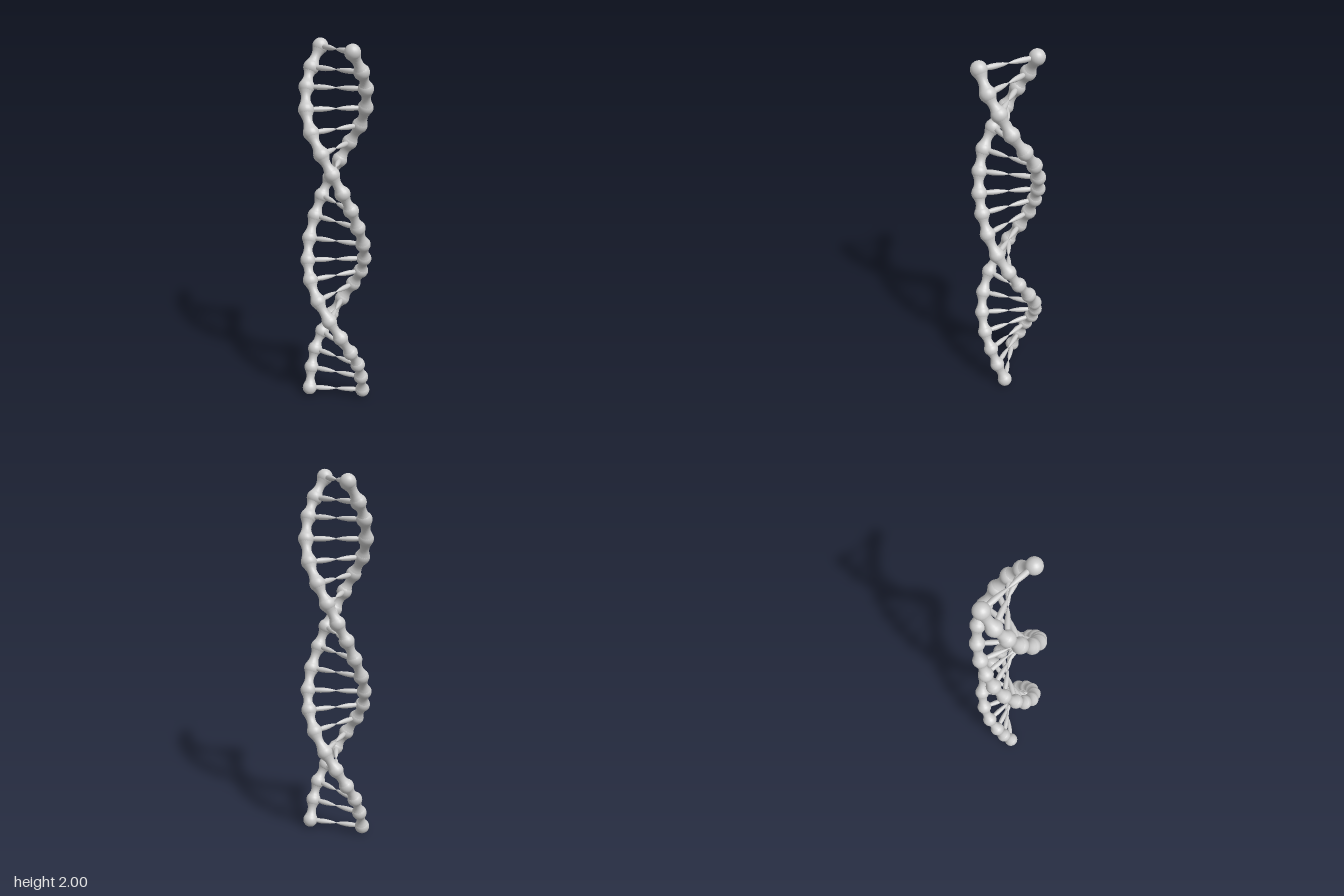
import * as THREE from 'three';
import { ParametricGeometry } from 'three/addons/geometries/ParametricGeometry.js';

const RADIUS = 0.152, BEAD = 0.041, NECK = 0.024;

// Height and turn (degrees) of each rung, from the top down
const HEIGHTS = [1.96, 1.86, 1.77, 1.665, 1.56, 1.46, 1.36, 1.26, 1.165, 1.06,
  0.95, 0.845, 0.75, 0.65, 0.545, 0.445, 0.345, 0.25, 0.15, 0.041];
const TURNS = [31, 7, -15, -37, -63, -89, -110, -130, -148, -166,
  -188, -212, -233, -258, -284, -307, -329, -350, -366, -383];

export function createModel() {
  const model = new THREE.Group();
  model.name = 'doubleHelix';
  const material = new THREE.MeshStandardMaterial({ color: 0xcccccc });

  const nodes = HEIGHTS.map((y, i) => {
    const a = THREE.MathUtils.degToRad(TURNS[i]);
    return new THREE.Vector3(RADIUS * Math.cos(a), y, RADIUS * Math.sin(a));
  });
  const spans = nodes.length - 1;
  const path = new THREE.CatmullRomCurve3(nodes);

  // Strand: a tube along the helix that swells at every node
  const strandGeometry = new ParametricGeometry((u, v, target) => {
    const p = path.getPoint(v), t = path.getTangent(v);
    const out = new THREE.Vector3(p.x, 0, p.z);
    out.addScaledVector(t, -out.dot(t)).normalize();
    const side = new THREE.Vector3().crossVectors(t, out);
    const swell = Math.abs(Math.cos(Math.PI * v * spans)) ** 2.5;
    const r = NECK + (BEAD - 0.001 - NECK) * swell;
    const a = u * Math.PI * 2;
    target.copy(p).addScaledVector(out, r * Math.cos(a)).addScaledVector(side, r * Math.sin(a));
  }, 20, spans * 10);

  const beadGeometry = new THREE.SphereGeometry(BEAD, 20, 14);

  // The second strand is the first one turned half way round
  ['first', 'second'].forEach((label, k) => {
    const strand = new THREE.Group();
    strand.name = label + 'Strand';
    strand.rotation.y = k * Math.PI;
    const backbone = new THREE.Mesh(strandGeometry, material);
    backbone.name = 'backbone';
    strand.add(backbone);
    nodes.forEach((p) => {
      const bead = new THREE.Mesh(beadGeometry, material);
      bead.name = 'bead';
      bead.position.copy(p);
      strand.add(bead);
    });
    model.add(strand);
  });

  // Rungs: two spindle halves that meet at a thin point on the axis
  const half = [[0.002, 0], [0.005, 0.008], [0.010, 0.03], [0.0135, 0.06],
    [0.0145, 0.085], [0.012, 0.115], [0.010, 0.15]];
  const profile = [
    ...half.slice(1).reverse().map(([r, y]) => new THREE.Vector2(r, -y)),
    ...half.map(([r, y]) => new THREE.Vector2(r, y)),
  ];
  const rungGeometry = new THREE.LatheGeometry(profile, 14);
  rungGeometry.rotateZ(-Math.PI / 2);
  nodes.forEach((p, i) => {
    const rung = new THREE.Mesh(rungGeometry, material);
    rung.name = 'rung';
    rung.position.y = p.y;
    rung.rotation.y = -THREE.MathUtils.degToRad(TURNS[i]);
    model.add(rung);
  });

  return model;
}
